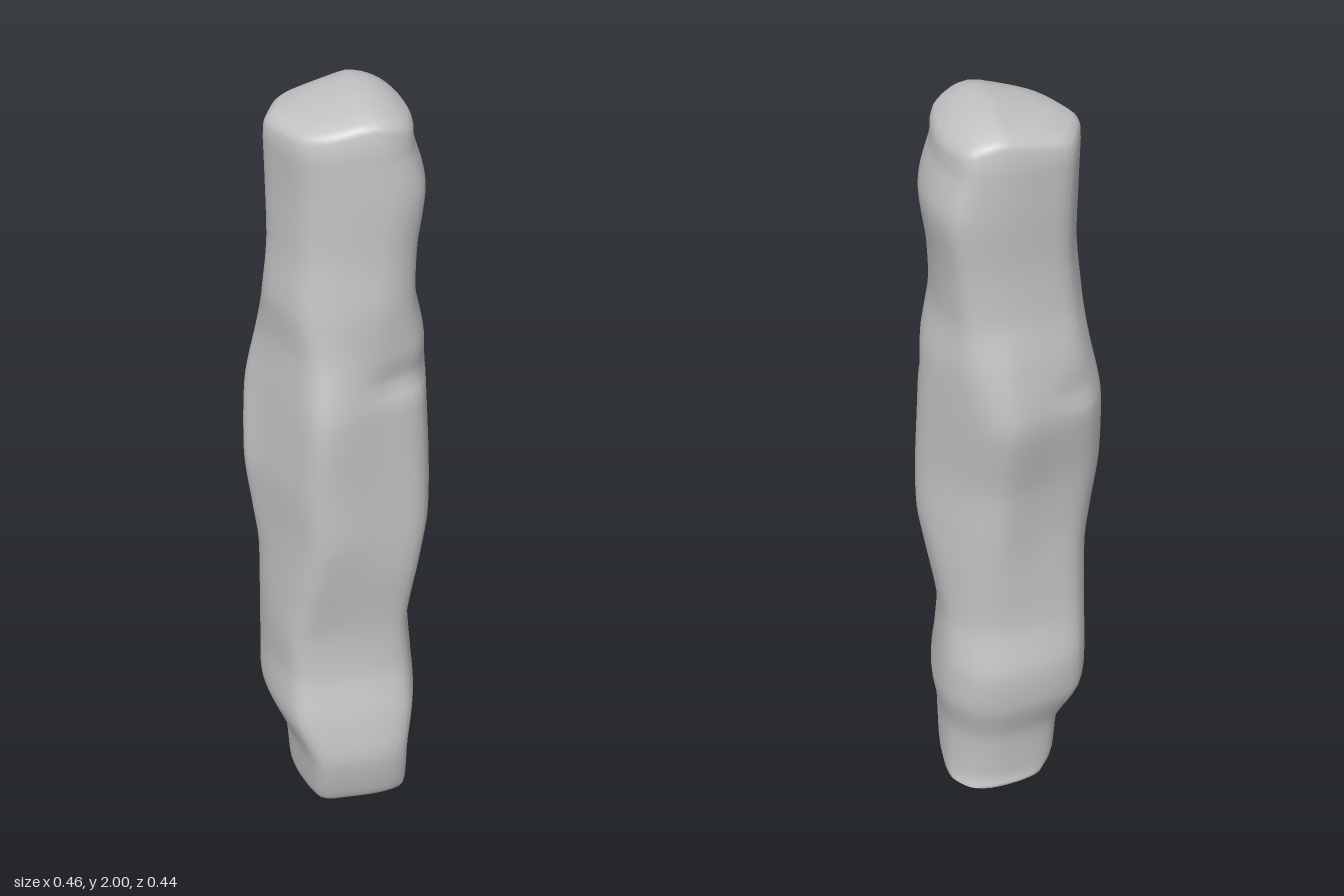
import * as THREE from 'three';
import { toCreasedNormals } from 'three/addons/utils/BufferGeometryUtils.js';

const COLS = 48, ROWS = 80;

// Plan outlines (x, z), running from the front round by the left side
const FOOT = [[-0.03, 0.175], [0.08, 0.17], [0.16, 0.14], [0.19, 0.02], [0.18, -0.08], [0.12, -0.15],
  [0.04, -0.17], [-0.07, -0.16], [-0.16, -0.13], [-0.2, -0.05], [-0.185, 0.05], [-0.13, 0.165]];
const BODY = [[-0.03, 0.22], [0.08, 0.18], [0.19, 0.13], [0.225, 0.01], [0.2, -0.07], [0.12, -0.18],
  [0.04, -0.225], [-0.07, -0.19], [-0.18, -0.145], [-0.23, -0.06], [-0.2, 0.01], [-0.1, 0.205]];
const HEAD = [[-0.03, 0.165], [0.1, 0.165], [0.17, 0.12], [0.195, 0.02], [0.19, -0.08], [0.15, -0.17],
  [0.06, -0.18], [-0.03, -0.165], [-0.12, -0.135], [-0.16, -0.06], [-0.175, 0.01], [-0.11, 0.13]];

// Height, then extents: x min, x max, z min, z max
const SECTIONS = [
  [0.005, -0.1, 0.178, -0.12, 0.13], [0.05, -0.13, 0.182, -0.115, 0.185],
  [0.2, -0.145, 0.182, -0.13, 0.22], [0.33, -0.2, 0.2, -0.17, 0.205],
  [0.46, -0.2, 0.192, -0.18, 0.175], [0.6, -0.2, 0.182, -0.155, 0.172],
  [0.78, -0.2, 0.208, -0.16, 0.202], [0.9, -0.214, 0.225, -0.168, 0.218],
  [1.05, -0.23, 0.224, -0.18, 0.22],
  [1.25, -0.22, 0.215, -0.22, 0.22], [1.4, -0.19, 0.205, -0.2, 0.19],
  [1.52, -0.178, 0.18, -0.172, 0.18], [1.65, -0.165, 0.182, -0.168, 0.17],
  [1.79, -0.165, 0.198, -0.177, 0.17], [1.9, -0.167, 0.168, -0.177, 0.168],
];

// One cross-section: blend the outlines, smooth, and fit to the extents
function ring([y, x0, x1, z0, z1]) {
  const { lerp, smoothstep, mapLinear } = THREE.MathUtils;
  const toBody = smoothstep(y, 0.6, 1.0), toHead = smoothstep(y, 1.25, 1.6);
  const mix = (i, k) => lerp(lerp(FOOT[i][k], BODY[i][k], toBody), HEAD[i][k], toHead);
  const ctrl = BODY.map((_, i) => new THREE.Vector3(mix(i, 0), y, mix(i, 1)));
  const curve = new THREE.CatmullRomCurve3(ctrl, true, 'catmullrom', 0.4);
  const pts = Array.from({ length: COLS }, (_, i) => curve.getPoint(i / COLS));
  const box = new THREE.Box3().setFromPoints(pts);
  return pts.map(p => new THREE.Vector3(
    mapLinear(p.x, box.min.x, box.max.x, x0, x1), y,
    mapLinear(p.z, box.min.z, box.max.z, z0, z1)));
}

// Shallow notch with a sharp lower ledge, centred on a compass angle
function notch(p, y, angle, spread, depth) {
  let d = Math.atan2(p.x, p.z) - angle;
  d = Math.atan2(Math.sin(d), Math.cos(d));
  const dy = p.y - y;
  const k = 1 - depth * Math.exp(-((d / spread) ** 2) - (dy / (dy > 0 ? 0.05 : 0.025)) ** 2);
  p.x *= k;
  p.z *= k;
}

// Sloping crown surface, gently domed from front to back
const crownY = (x, z) =>
  2 - (x < 0.04 ? 0.26 * (0.04 - x) : 3.5 * (x - 0.04) ** 2) - 0.7 * z * z;

function stoneGeometry() {
  const keys = SECTIONS.map(ring);
  const columns = Array.from({ length: COLS }, (_, j) =>
    new THREE.CatmullRomCurve3(keys.map(k => k[j]), false, 'catmullrom', 0.4).getPoints(ROWS));
  const rings = [];
  for (let i = 0; i <= ROWS; i++) rings.push(columns.map(c => c[i].clone()));
  for (const p of rings.flat()) {
    notch(p, 1.32, 0.75, 0.45, 0.09);
    notch(p, 1.3, -2.4, 0.25, 0.06);
  }
  // Crown: rings drawn in towards the peak
  const rim = rings[ROWS];
  for (const [s, drop] of [[0.99, 0.018], [0.96, 0.007], [0.88, 0], [0.6, 0], [0.3, 0], [0.001, 0]]) {
    rings.push(rim.map(p => {
      const x = 0.03 + (p.x - 0.03) * s, z = p.z * s;
      return new THREE.Vector3(x, crownY(x, z) - drop, z);
    }));
  }
  // Base: flat underside
  rings.unshift(rings[0].map(p => new THREE.Vector3(p.x * 0.97, 0, p.z * 0.97)));
  rings.unshift(rings[0].map(p => new THREE.Vector3(0.03 + p.x * 0.001, 0, p.z * 0.001)));

  const pos = rings.flat().flatMap(p => [p.x, p.y, p.z]);
  const index = [];
  for (let i = 0; i < rings.length - 1; i++) {
    for (let j = 0; j < COLS; j++) {
      const a = i * COLS + j, b = i * COLS + (j + 1) % COLS;
      index.push(a, b, a + COLS, b, b + COLS, a + COLS);
    }
  }
  const geo = new THREE.BufferGeometry();
  geo.setAttribute('position', new THREE.Float32BufferAttribute(pos, 3));
  geo.setIndex(index);
  return toCreasedNormals(geo, 0.9);
}

export function createModel() {
  const stone = new THREE.MeshStandardMaterial({ color: 0xc4c4c4 });
  stone.name = 'grey stone';
  const pillar = new THREE.Mesh(stoneGeometry(), stone);
  pillar.name = 'stonePillar';
  const group = new THREE.Group();
  group.name = 'standingStone';
  group.add(pillar);
  return group;
}
